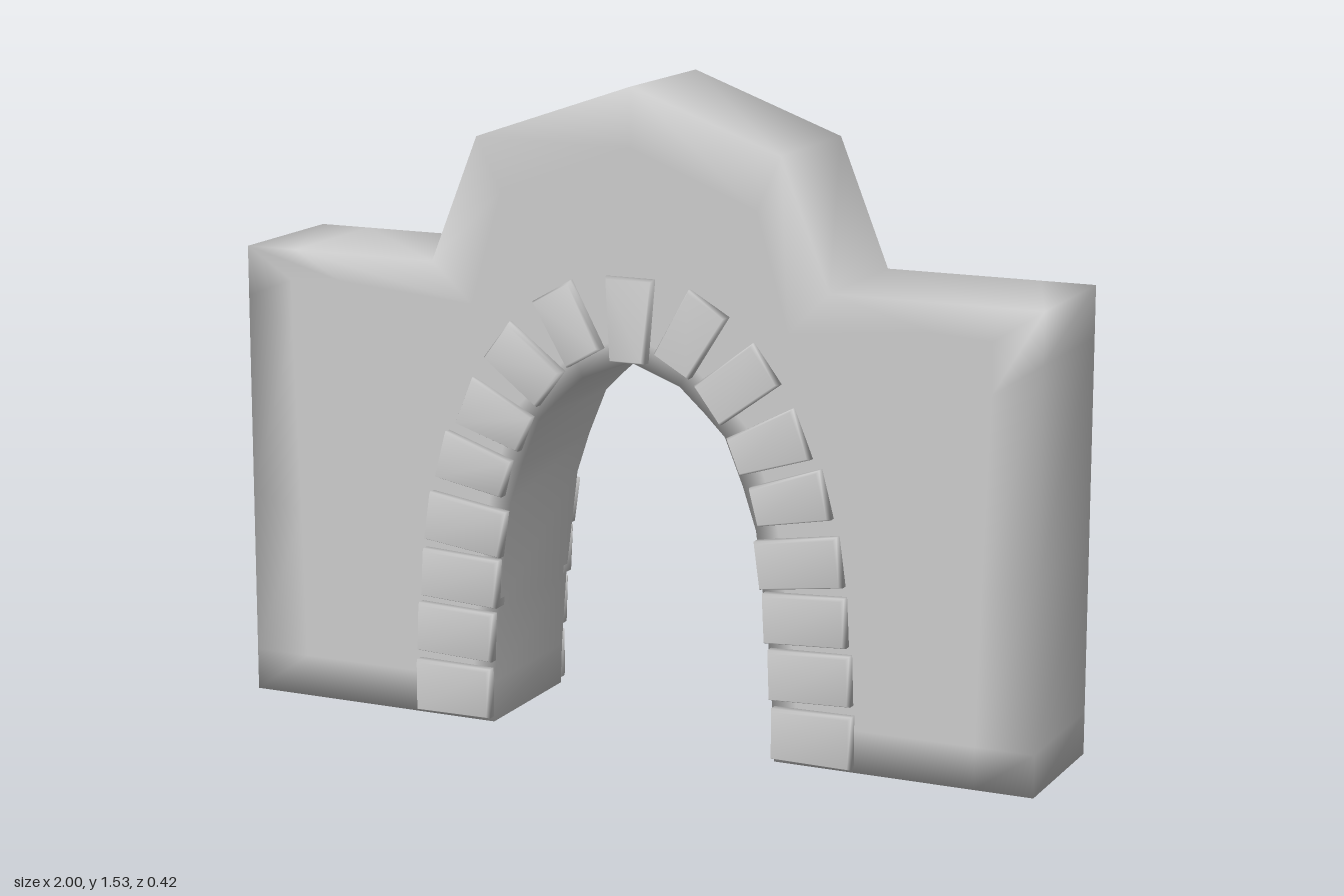
import * as THREE from 'three';
import { mergeVertices } from 'three/addons/utils/BufferGeometryUtils.js';

const material = new THREE.MeshStandardMaterial({ color: 0xcccccc });
const HALF = 0.177;      // half thickness of the wall
const CENTRE = 0.013;    // axis of the arch

// Stations of the left half, foot to crown: [opening x, y, outline x, y];
// opening x is measured from the arch axis
const HALF_STATIONS = [
  [-0.362, 0, -1, 0],
  [-0.358, 0.1, -1, 0.1],
  [-0.345, 0.28, -1, 0.5],
  [-0.313, 0.54, -1, 0.98],
  [-0.28, 0.64, -1, 1.1],
  [-0.235, 0.75, -0.87, 1.1],
  [-0.185, 0.8, -0.5, 1.1],
  [-0.122, 0.857, -0.38, 1.4],
  [0, 0.903, 0.013, 1.535],
];

function wallGeometry() {
  const left = HALF_STATIONS.map(([a, b, c, d]) => [a + CENTRE, b, c, d]);
  const right = HALF_STATIONS.slice(0, -1).reverse().map(([a, b, c, d]) => [CENTRE - a, b, -c, d]);
  const stations = [...left, ...right];
  const pos = [], index = [], N = 8;

  // Each station is a flat ring around the wall: front outer to inner, back inner to outer
  for (const [ix, iy, ox, oy] of stations) {
    const len = Math.hypot(ix - ox, iy - oy);
    const cuts = [0, 0.14 / len, 1 - 0.06 / len, 1];
    const put = (t, z) => pos.push(ox + (ix - ox) * t, oy + (iy - oy) * t, z);
    cuts.forEach(t => put(t, HALF));
    cuts.reverse().forEach(t => put(t, -HALF));
  }
  for (let i = 0; i < stations.length - 1; i++) {
    for (let k = 0; k < N; k++) {
      const a = i * N + k, b = i * N + (k + 1) % N;
      index.push(a, b, b + N, a, b + N, a + N);
    }
  }
  // Undersides of the two feet
  const last = (stations.length - 1) * N;
  for (let k = 0; k < 3; k++) {
    const [a, b, c, d] = [k, k + 1, 6 - k, 7 - k];
    index.push(a, c, b, a, d, c);
    index.push(last + a, last + b, last + c, last + a, last + c, last + d);
  }
  const geo = new THREE.BufferGeometry();
  geo.setAttribute('position', new THREE.Float32BufferAttribute(pos, 3));
  geo.setIndex(index);
  geo.computeVertexNormals();
  return geo;
}

// Wedge stone: local +x runs outward from the opening, +z is the exposed face
function stoneGeometry(length, outerWidth, innerWidth, outerZ, innerZ) {
  let geo = new THREE.BoxGeometry(1, 1, 1, 1, 1, 2);
  const p = geo.attributes.position;
  for (let i = 0; i < p.count; i++) {
    const outer = p.getX(i) > 0, layer = p.getZ(i);
    const inset = layer > 0.1 ? 0.005 : 0;
    const top = outer ? outerZ : innerZ;
    const z = layer > 0.1 ? top : layer < -0.1 ? HALF - 0.02 : top - 0.012;
    const width = outer ? outerWidth : innerWidth;
    p.setXYZ(i,
      Math.sign(p.getX(i)) * (length / 2 - inset),
      Math.sign(p.getY(i)) * (width / 2 - inset),
      z);
  }
  geo.deleteAttribute('normal');
  geo.deleteAttribute('uv');
  geo = mergeVertices(geo);
  geo.computeVertexNormals();
  return geo;
}

// Left-hand stones: [outer end x, y, inner end x, y, outer width, inner width]
const STONES = [
  [-0.558, 0.073, -0.362, 0.073, 0.125, 0.12],
  [-0.553, 0.218, -0.354, 0.211, 0.118, 0.118],
  [-0.54, 0.353, -0.34, 0.343, 0.116, 0.116],
  [-0.525, 0.493, -0.324, 0.465, 0.117, 0.112],
  [-0.488, 0.645, -0.315, 0.6, 0.116, 0.09],
  [-0.428, 0.778, -0.265, 0.712, 0.122, 0.09],
  [-0.34, 0.93, -0.2, 0.825, 0.112, 0.108],
  [-0.197, 1.056, -0.11, 0.906, 0.112, 0.1],
];

function archStones() {
  const group = new THREE.Group();
  const add = (name, [ox, oy, ix, iy, wo, wi], outerZ, innerZ) => {
    const stone = new THREE.Mesh(
      stoneGeometry(Math.hypot(ox - ix, oy - iy), wo, wi, outerZ, innerZ), material);
    stone.name = name;
    stone.position.set((ox + ix) / 2, (oy + iy) / 2, 0);
    stone.rotation.z = Math.atan2(oy - iy, ox - ix);
    group.add(stone);
  };
  STONES.forEach((s, i) => {
    const outerZ = i < 5 ? 0.208 : 0.2;
    add('archStoneRight' + (i + 1), s, outerZ, 0.21);
    add('archStoneLeft' + (i + 1), [-s[0], s[1], -s[2], s[3], s[4], s[5]], outerZ, 0.21);
  });
  add('keystone', [0, 1.1, 0, 0.905, 0.122, 0.088], 0.195, 0.21);
  return group;
}

export function createModel() {
  const model = new THREE.Group();
  model.name = 'archGate';

  const wall = new THREE.Mesh(wallGeometry(), material);
  wall.name = 'wall';
  model.add(wall);

  // The same ring of stones on both faces
  for (const [name, turn] of [['frontArchStones', 0], ['backArchStones', Math.PI]]) {
    const ring = archStones();
    ring.name = name;
    ring.position.x = CENTRE;
    ring.rotation.y = turn;
    model.add(ring);
  }
  return model;
}
